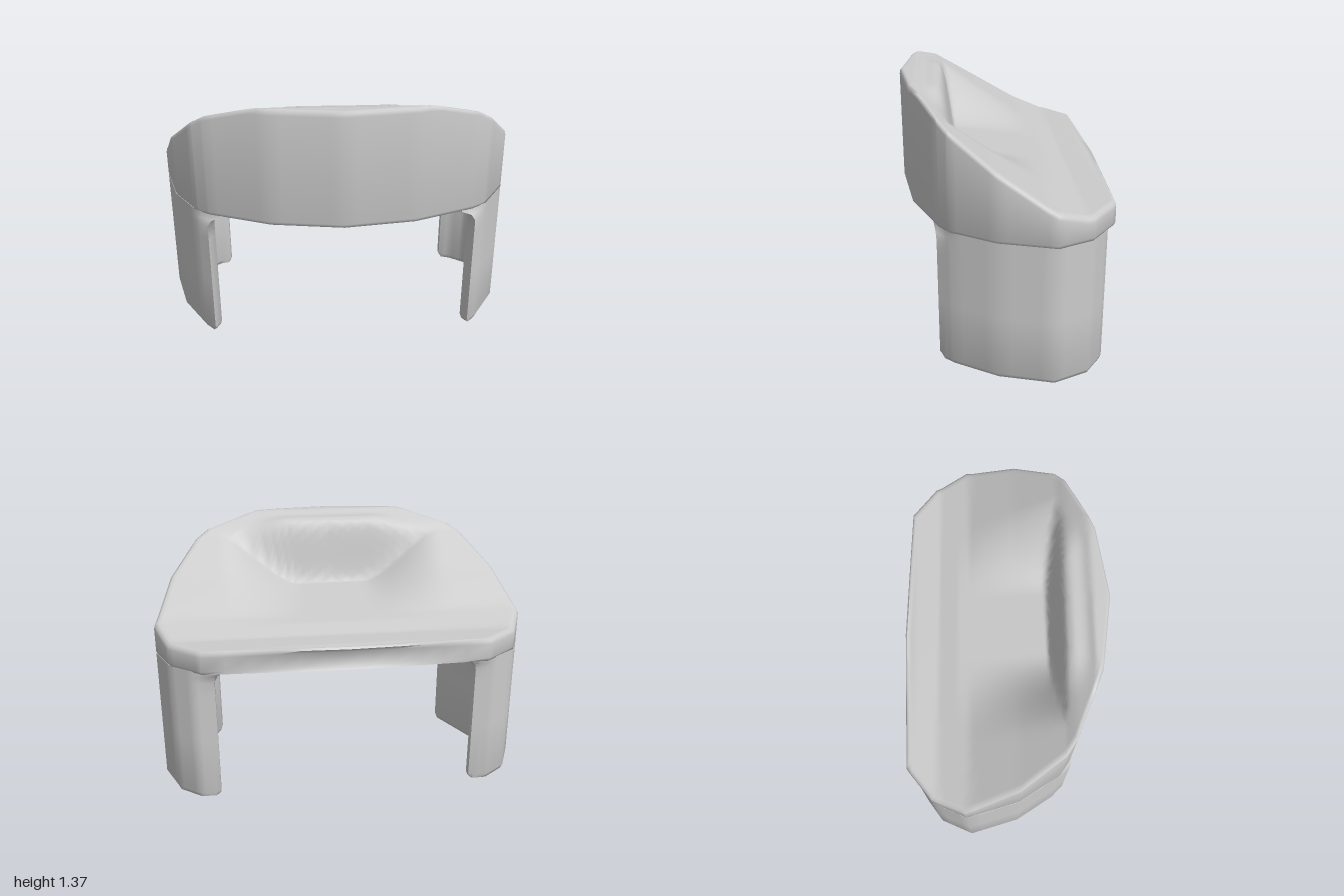
import * as THREE from 'three';
import { toCreasedNormals } from 'three/addons/utils/BufferGeometryUtils.js';

const material = new THREE.MeshStandardMaterial({ color: 0xcccccc, side: THREE.DoubleSide });
const lerp = THREE.MathUtils.lerp;
const smooth = THREE.MathUtils.smoothstep;

// Skin a stack of closed rings (counter-clockwise seen from above, bottom to top)
function loft(name, rings, crease) {
  const n = rings[0].length, index = [];
  for (let i = 0; i < rings.length - 1; i++) {
    for (let j = 0; j < n; j++) {
      const a = i * n + j, b = i * n + (j + 1) % n;
      index.push(a, b, b + n, a, b + n, a + n);
    }
  }
  const geometry = new THREE.BufferGeometry();
  geometry.setAttribute('position', new THREE.Float32BufferAttribute(rings.flat(2), 3));
  geometry.setIndex(index);
  const mesh = new THREE.Mesh(toCreasedNormals(geometry, crease), material);
  mesh.name = name;
  return mesh;
}

// Straight subdivision of a path of [x, z] points
function subdivide(path, steps) {
  const out = [];
  for (let i = 0; i < path.length - 1; i++) {
    for (let k = 0; k < steps; k++) {
      out.push([0, 1].map(c => lerp(path[i][c], path[i + 1][c], k / steps)));
    }
  }
  return out.concat([path[path.length - 1]]);
}

// Plan outline of the body, front centre to back centre, then mirrored
const half = subdivide([[0, 0.54], [0.38, 0.485], [0.71, 0.35], [0.78, 0.30], [0.92, 0.08],
  [1, -0.2], [0.92, -0.38], [0.75, -0.515], [0, -0.54]], 6);
const outline = half.concat(half.slice(1, -1).reverse().map(([x, z]) => [-x, z]));

// Rim height along z
const rimProfile = [[-0.54, 0.868], [-0.35, 0.868], [-0.18, 0.925], [0.08, 1.095],
  [0.30, 1.255], [0.35, 1.3], [0.45, 1.37], [0.54, 1.37]];
function rim(z) {
  let i = 0;
  while (i < rimProfile.length - 2 && z > rimProfile[i + 1][0]) i++;
  const [z0, y0] = rimProfile[i], [z1, y1] = rimProfile[i + 1];
  return lerp(y0, y1, THREE.MathUtils.clamp((z - z0) / (z1 - z0), 0, 1));
}

// Top surface: a dished floor, a steep wall near the front and a raised lip above it
function topHeight(x, z) {
  const ax = Math.abs(x);
  const lip = 0.05 * (1 - smooth(ax, 0.25, 0.5)) * smooth(z, 0.22, 0.3) * (1 - smooth(z, 0.32, 0.43));
  const r = rim(z) + lip;
  const floor = Math.min(r, 0.865 + 0.15 * (z + 0.5));
  const blend = Math.max(smooth(ax, 0.18, 0.64), smooth(z, 0.24, 0.315));
  return lerp(floor, r, blend);
}

function createBody() {
  const ring = (s, height, back = -1) => outline.map(([x, z]) =>
    [x * s, height(x * s, z * s), Math.max(z * s, back)]);
  // the back wall sits slightly inside its upper and lower lips
  const back = -0.515;
  const rings = [
    ring(0, () => 0.74), ring(0.5, () => 0.74), ring(0.95, () => 0.74), ring(0.99, () => 0.744),
    ring(1, () => 0.762, back), ring(1, (x, z) => rim(z) - 0.03, back),
    ring(0.996, (x, z) => rim(z) - 0.01), ring(0.98, (x, z) => rim(z)),
  ];
  const steps = 40;
  for (let i = steps; i >= 0; i--) rings.push(ring(0.96 * i / steps, topHeight));
  return loft('body', rings, 1.3);
}

// Curved leg wall with a fillet under the body; side is +1 or -1
function createLeg(side) {
  // flare straightens and spreads the inner side, thin rounds the foot
  const ringAt = (y, flare, thin, endLift) => {
    const spread = Math.max(0, flare - 0.5) * 2;
    const outer = subdivide([[0.72 - 0.08 * spread, 0.362 + 0.012 * spread], [0.785, 0.295], [0.92, 0.08],
      [1, -0.2], [0.92, -0.38], [0.80, -0.468], [0.69 - 0.03 * spread, -0.47 - 0.03 * spread]], 4);
    const inner = subdivide([[0.69, 0.30], [0.72, 0.23], [0.83, 0], [0.87, -0.2],
      [0.83, -0.34], [0.75, -0.40], [0.69, -0.425]]
      .map(([x, z]) => [lerp(x, 0.69, flare) - 0.08 * spread, z]), 4);
    const last = outer.length - 1;
    const place = (p, q, i) => [side * lerp(p[0], q[0], thin),
      y + (i === 0 || i === last ? endLift : 0), lerp(p[1], q[1], thin)];
    const ring = outer.map((p, i) => place(p, inner[i], i))
      .concat(inner.map((p, i) => place(p, outer[i], i)).reverse());
    return side > 0 ? ring : ring.reverse();
  };
  const rings = [
    ringAt(0, 0, 0.5, 0.025), ringAt(0.004, 0, 0.12, 0.025), ringAt(0.03, 0, 0, 0.01),
    ringAt(0.35, 0, 0, 0), ringAt(0.6, 0, 0, 0), ringAt(0.68, 0.3, 0, 0),
    ringAt(0.715, 0.65, 0, 0), ringAt(0.738, 1, 0, 0), ringAt(0.75, 1, 0, 0),
  ];
  return loft(side > 0 ? 'leftLeg' : 'rightLeg', rings, 1.1);
}

export function createModel() {
  const group = new THREE.Group();
  group.name = 'contouredStool';
  group.add(createBody(), createLeg(1), createLeg(-1));
  return group;
}
